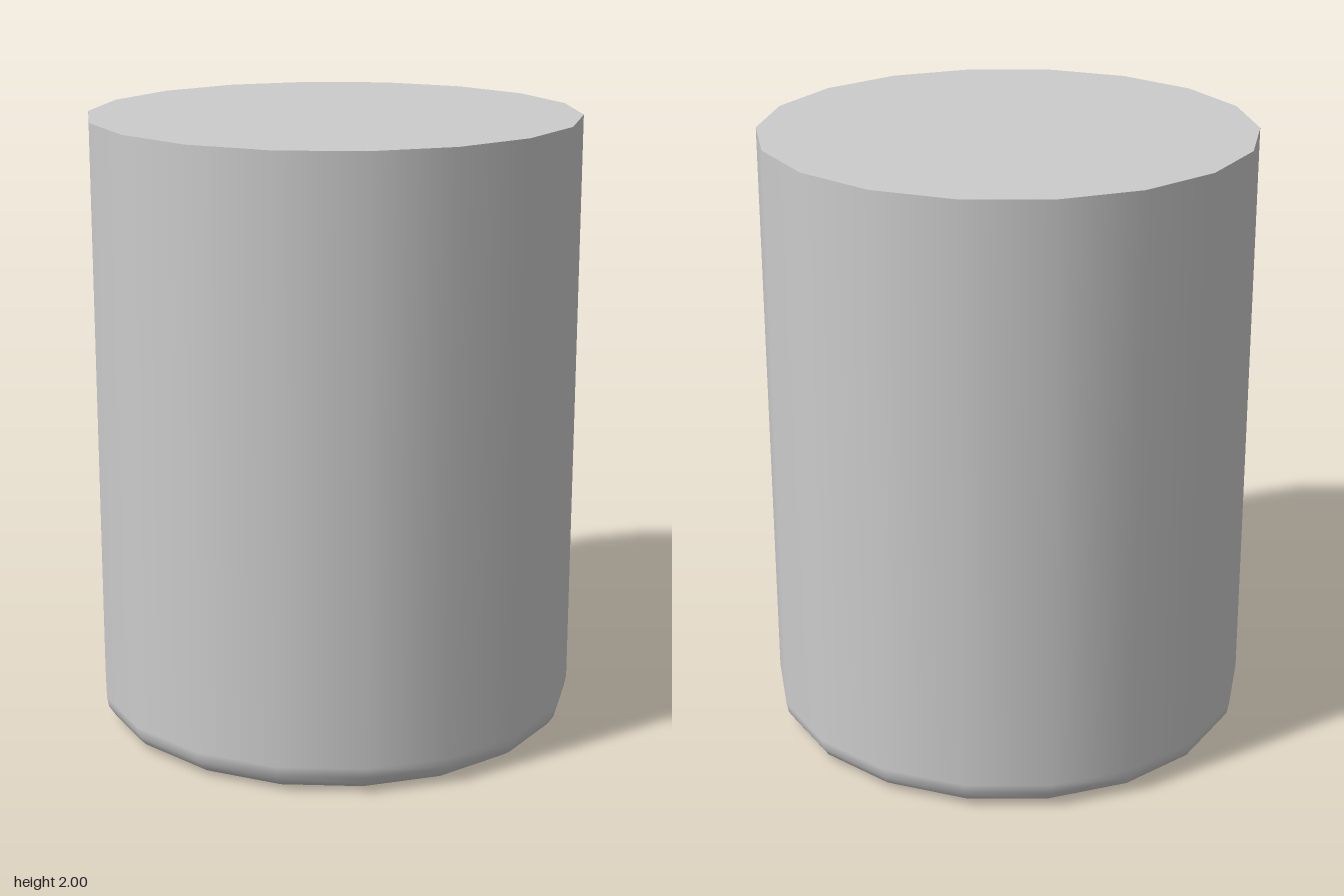
import * as THREE from 'three';

const SIDES = 18, RADIUS = 0.79, HEIGHT = 2, BEVEL = 0.09;
const NOTCH_RADIUS = 0.5, NOTCH_DEPTH = 0.03, NOTCH_ANGLE = THREE.MathUtils.degToRad(40);

// Regular polygon corners, angle measured from +x towards +z
function polygon(radius, sides, start = 0) {
  return Array.from({ length: sides }, (_, i) => {
    const a = start + (i / sides) * Math.PI * 2;
    return new THREE.Vector2(Math.cos(a) * radius, Math.sin(a) * radius);
  });
}

export function createModel() {
  const group = new THREE.Group();
  const material = new THREE.MeshStandardMaterial({ color: 0xcccccc });
  const add = (name, geometry, mat = material) => {
    const mesh = new THREE.Mesh(geometry, mat);
    mesh.name = name;
    group.add(mesh);
    return mesh;
  };

  // Smooth wall with a rounded lower edge
  const profile = [];
  for (let i = 0; i <= 4; i++) {
    const a = (i / 4) * Math.PI / 2;
    profile.push(new THREE.Vector2(RADIUS - BEVEL + Math.sin(a) * BEVEL, BEVEL - Math.cos(a) * BEVEL));
  }
  profile.push(new THREE.Vector2(RADIUS, HEIGHT));
  add('wall', new THREE.LatheGeometry(profile, SIDES, Math.PI / 2));

  // Flat top
  const top = new THREE.CircleGeometry(RADIUS, SIDES).rotateX(-Math.PI / 2);
  add('top', top).position.y = HEIGHT;

  // Underside with a triangular opening
  const base = new THREE.Shape(polygon(RADIUS - BEVEL, SIDES));
  base.holes.push(new THREE.Path(polygon(NOTCH_RADIUS, 3, NOTCH_ANGLE)));
  add('underside', new THREE.ShapeGeometry(base).rotateX(Math.PI / 2));

  // Shallow triangular recess: walls and floor
  const wallMaterial = new THREE.MeshStandardMaterial({
    color: 0xcccccc, flatShading: true, side: THREE.DoubleSide,
  });
  const recessWalls = new THREE.CylinderGeometry(
    NOTCH_RADIUS, NOTCH_RADIUS, NOTCH_DEPTH, 3, 1, true, Math.PI / 2 - NOTCH_ANGLE);
  add('recessWalls', recessWalls, wallMaterial).position.y = NOTCH_DEPTH / 2;
  const recessFloor = new THREE.CircleGeometry(NOTCH_RADIUS, 3, NOTCH_ANGLE).rotateX(Math.PI / 2);
  add('recessFloor', recessFloor).position.y = NOTCH_DEPTH;

  return group;
}
